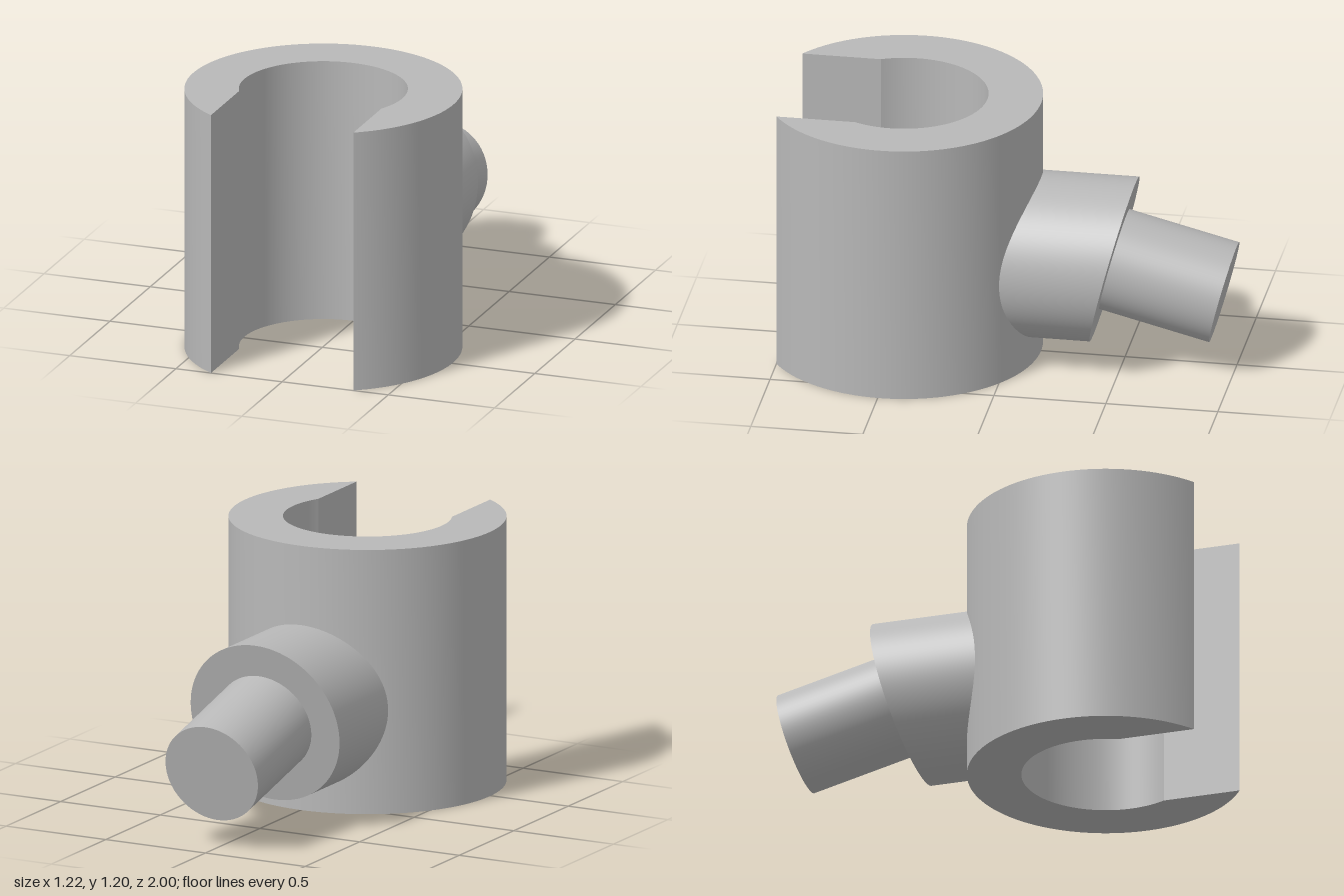
import * as THREE from 'three';
import { toCreasedNormals } from 'three/addons/utils/BufferGeometryUtils.js';

const HEIGHT = 1.2, RING_Z = 0.487, OUTER = 0.612, INNER = 0.372, SLOT = 0.335;
const COLLAR_R = 0.37, COLLAR_Y = 0.47, COLLAR_END = -0.4525;
const PEG_R = 0.23, PEG_LENGTH = 0.505, TILT = Math.atan(0.25);

export function createModel() {
  const model = new THREE.Group();
  model.name = 'slottedClamp';
  const grey = new THREE.MeshStandardMaterial({ color: 0xb8b8b8 });
  grey.name = 'plain grey';
  const add = (parent, name, geometry) => {
    const mesh = new THREE.Mesh(geometry, grey);
    mesh.name = name;
    parent.add(mesh);
    return mesh;
  };

  // Sleeve: thick ring with a parallel-sided slot open to the front
  const outerAngle = Math.acos(SLOT / OUTER), innerAngle = Math.acos(SLOT / INNER);
  const profile = new THREE.Shape();
  profile.absarc(0, -RING_Z, OUTER, -outerAngle, Math.PI + outerAngle, false);
  profile.absarc(0, -RING_Z, INNER, Math.PI + innerAngle, -innerAngle, true);
  profile.closePath();
  const sleeve = new THREE.ExtrudeGeometry(profile, { depth: HEIGHT, bevelEnabled: false, curveSegments: 48 });
  sleeve.rotateX(-Math.PI / 2);
  add(model, 'slottedSleeve', toCreasedNormals(sleeve, 0.3));

  // Collar: one end follows the sleeve wall, the other is cut at a slant
  const collar = new THREE.CylinderGeometry(COLLAR_R, COLLAR_R, 1, 96, 1, true);
  collar.rotateX(-Math.PI / 2);
  const p = collar.attributes.position;
  for (let i = 0; i < p.count; i++) {
    const x = p.getX(i), y = p.getY(i);
    const z = p.getZ(i) < 0
      ? COLLAR_END - Math.tan(TILT) * y
      : RING_Z - Math.sqrt(OUTER * OUTER - x * x) + 0.01;
    p.setXYZ(i, x, y + COLLAR_Y, z);
  }
  add(model, 'collar', collar);

  // Tilted assembly: local +z points back and down, square to the slanted cut
  const tilted = new THREE.Group();
  tilted.name = 'tiltedEnd';
  tilted.position.set(0, COLLAR_Y, COLLAR_END);
  tilted.rotation.x = Math.PI - TILT;
  model.add(tilted);

  const face = new THREE.CircleGeometry(COLLAR_R, 96);
  face.scale(1, 1 / Math.cos(TILT), 1);
  add(tilted, 'collarEndFace', face);

  const peg = new THREE.CylinderGeometry(PEG_R, PEG_R, PEG_LENGTH, 64);
  peg.rotateX(Math.PI / 2);
  peg.translate(0, 0, PEG_LENGTH / 2);
  add(tilted, 'peg', peg);

  return model;
}
